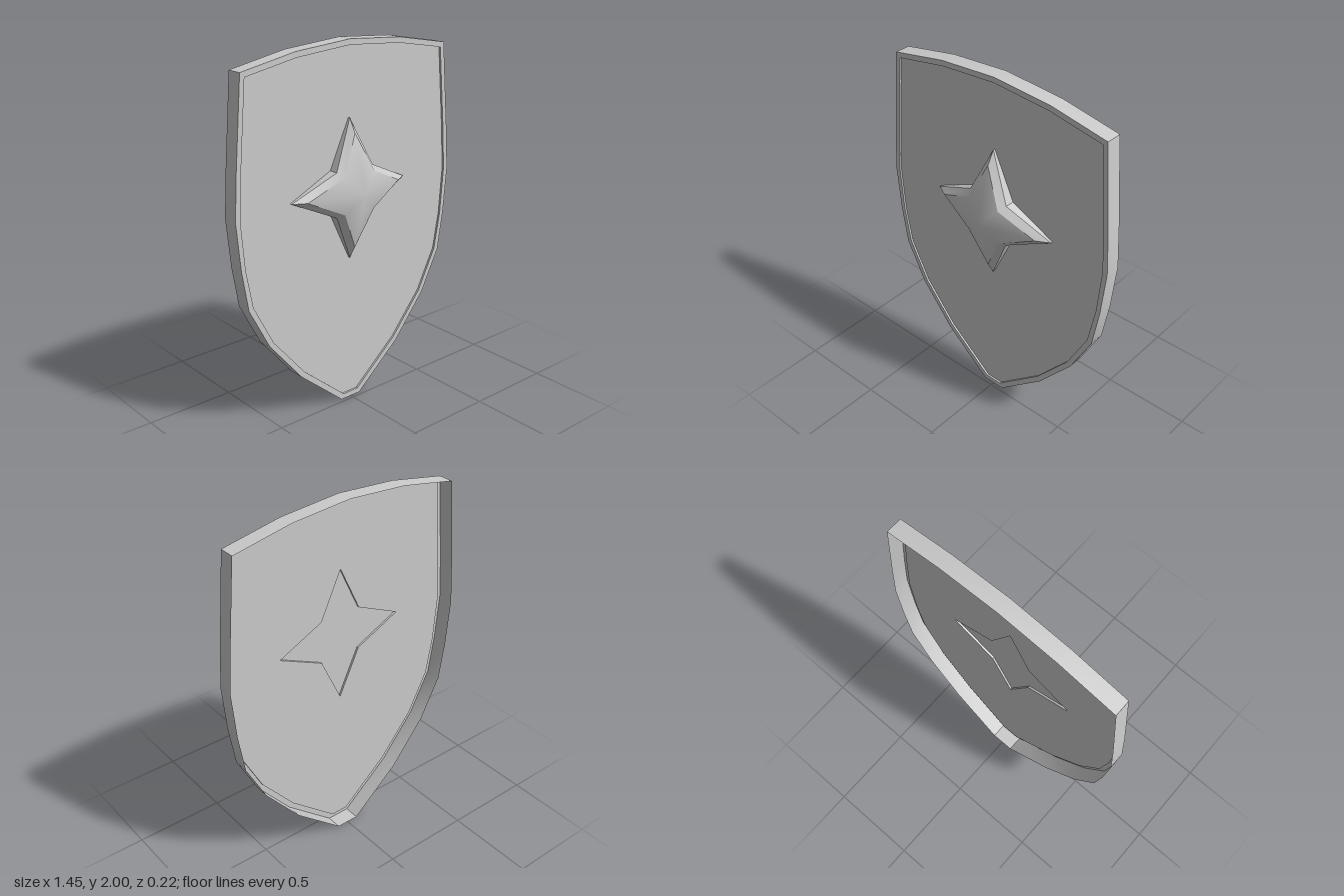
import * as THREE from 'three';
import { mergeVertices, toCreasedNormals } from 'three/addons/utils/BufferGeometryUtils.js';

const grey = new THREE.MeshStandardMaterial({ color: 0xcccccc, side: THREE.DoubleSide });
const BACK = -0.109, PANEL = -0.032, FRONT = -0.021, APEX = 0.109;
const STAR_X = -0.004, STAR_Y = 1.22;

// Right half of the outline from top centre to the foot, mirrored to a closed loop
function mirrored(half) {
  const left = half.slice(1).reverse().map(([x, y]) => [-x, y]);
  return [...half, ...left].map(([x, y]) => new THREE.Vector2(x, y));
}

const outer = mirrored([[0, 2], [0.34, 1.975], [0.665, 1.915], [0.707, 1.44], [0.723, 1.2],
  [0.70, 0.94], [0.665, 0.72], [0.545, 0.485], [0.345, 0.24], [0.065, 0]]);
const inner = mirrored([[0, 1.97], [0.335, 1.945], [0.64, 1.89], [0.68, 1.44], [0.695, 1.2],
  [0.675, 0.94], [0.637, 0.73], [0.52, 0.5], [0.325, 0.265], [0.05, 0.03]]);

const atDepth = (loop, z) => loop.map(p => new THREE.Vector3(p.x, p.y, z));

// Four-pointed star ring: tips and notches may lie at different depths
function starRing(tip, notch, zTip, zNotch) {
  return Array.from({ length: 8 }, (_, i) => {
    const a = i * Math.PI / 4, isTip = i % 2 === 0;
    const r = isTip ? tip : notch * Math.SQRT2;
    return new THREE.Vector3(STAR_X + r * Math.cos(a), STAR_Y + r * Math.sin(a), isTip ? zTip : zNotch);
  });
}

function addMesh(group, name, geometry) {
  const mesh = new THREE.Mesh(geometry, grey);
  mesh.name = name;
  group.add(mesh);
}

// Closed strip of quads between two loops
function band(a, b) {
  const pts = [];
  a.forEach((p, i) => {
    const j = (i + 1) % a.length;
    pts.push(p, a[j], b[j], p, b[j], b[i]);
  });
  return toCreasedNormals(new THREE.BufferGeometry().setFromPoints(pts), 0.4);
}

// Flat sheet at a given depth, with an optional hole
function sheet(outline, z, hole) {
  const shape = new THREE.Shape(outline);
  if (hole) shape.holes.push(new THREE.Path(hole));
  return new THREE.ShapeGeometry(shape).translate(0, 0, z);
}

// Smooth faceted crown rising from a ring to a point
function crown(ring, apex) {
  const pts = ring.flatMap((p, i) => [p, ring[(i + 1) % ring.length], apex]);
  const geo = mergeVertices(new THREE.BufferGeometry().setFromPoints(pts));
  geo.computeVertexNormals();
  return geo;
}

export function createModel() {
  const group = new THREE.Group();
  group.name = 'shield';

  // Open-backed shell: outer wall, front rim and the recessed panel
  const starOutline = starRing(0.382, 0.122, 0, 0).map(p => new THREE.Vector2(p.x, p.y));
  addMesh(group, 'outerWall', band(atDepth(outer, FRONT), atDepth(outer, BACK)));
  addMesh(group, 'rimFace', sheet(outer, FRONT, inner));
  addMesh(group, 'rimStep', band(atDepth(inner, PANEL), atDepth(inner, FRONT)));
  addMesh(group, 'panel', sheet(inner, PANEL, starOutline));

  // Star: upright sides, bevel, smooth crown and a shallow back plate
  const star = new THREE.Group();
  star.name = 'starBoss';
  const foot = starRing(0.382, 0.122, PANEL, PANEL);
  const shoulder = starRing(0.382, 0.122, FRONT, 0.02);
  const top = starRing(0.31, 0.1, 0.02, 0.06);
  addMesh(star, 'starSides', band(foot, shoulder));
  addMesh(star, 'starBevel', band(shoulder, top));
  addMesh(star, 'starCrown', crown(top, new THREE.Vector3(STAR_X, STAR_Y, APEX)));
  addMesh(star, 'starBackPlate', sheet(starOutline, FRONT));
  group.add(star);
  return group;
}
